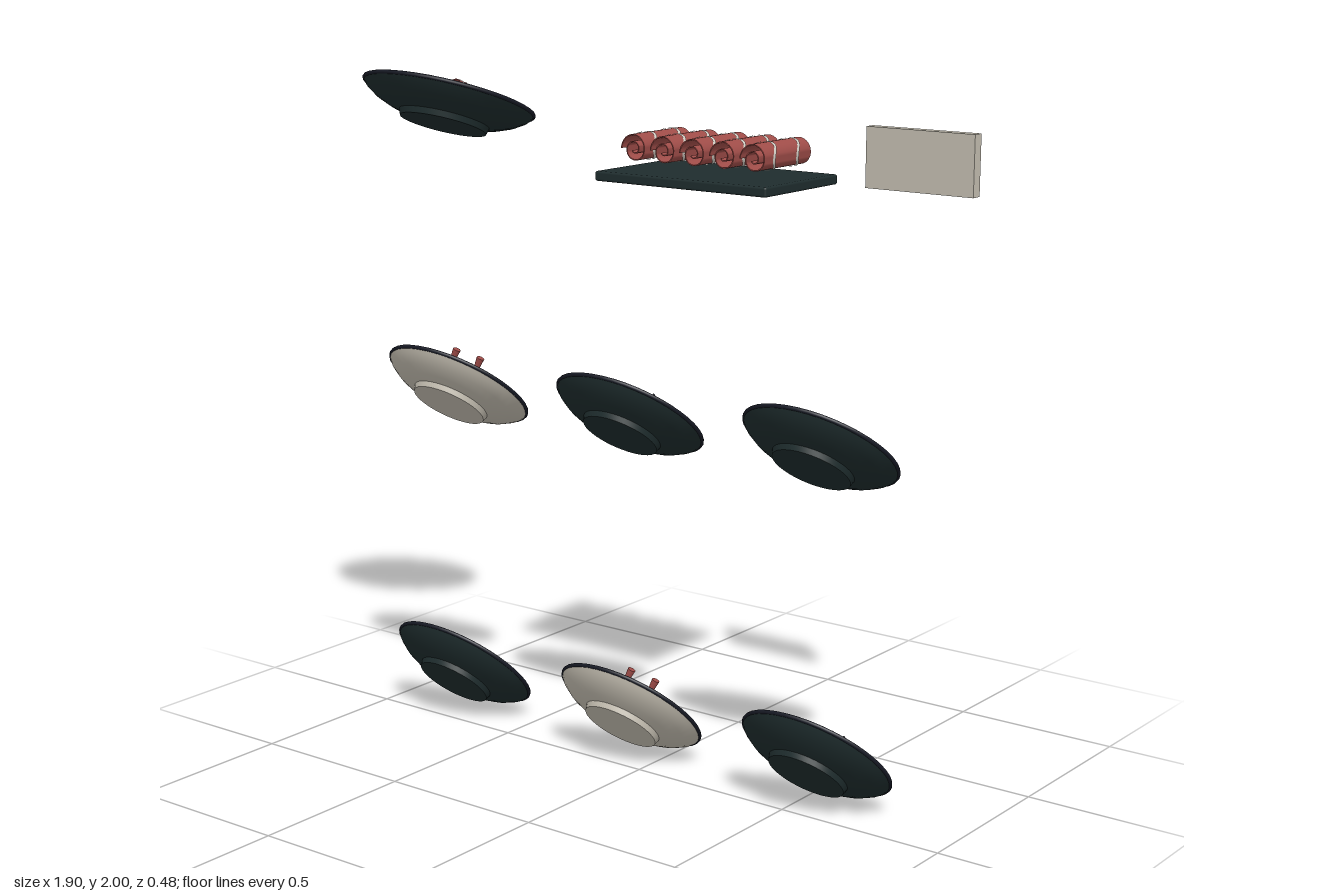
import * as THREE from 'three';
import { toCreasedNormals } from 'three/addons/utils/BufferGeometryUtils.js';
import { RoundedBoxGeometry } from 'three/addons/geometries/RoundedBoxGeometry.js';
import { ParametricGeometry } from 'three/addons/geometries/ParametricGeometry.js';

function material(name, color, side = THREE.FrontSide) {
  const m = new THREE.MeshStandardMaterial({ color, side });
  m.name = name;
  return m;
}

const MAT = {
  dark: material('dark glaze', 0x1e2c2d),
  pale: material('pale ceramic', 0xc3bdb0),
  sauce: material('brown sauce', 0x614a36),
  meat: material('red meat', 0xa04d49),
  fat: material('white fat', 0xd2cdc4, THREE.DoubleSide),
  cream: material('cream', 0xd6c9a4),
  batter: material('golden batter', 0xa67c3a),
  orange: material('carrot orange', 0xc08136),
  green: material('leaf green', 0x5f7a48),
  black: material('navy trim', 0x181b26)
};

function add(parent, name, geometry, mat, x = 0, y = 0, z = 0) {
  const mesh = new THREE.Mesh(geometry, mat);
  mesh.name = name;
  mesh.position.set(x, y, z);
  parent.add(mesh);
  return mesh;
}

function group(parent, name) {
  const g = new THREE.Group();
  g.name = name;
  parent.add(g);
  return g;
}

// Thin slice of meat rolled into a spiral along z, with wavy bands of fat on the outside
function meatRoll(parent, length, stripes) {
  const roll = group(parent, 'meatRoll');
  const spiral = (u, lift) => {
    const a = Math.PI * (1 - 3.8 * u);
    const r = 0.045 - 0.036 * u + lift;
    return new THREE.Vector2(Math.cos(a) * r, Math.sin(a) * r);
  };
  const outer = [], inner = [];
  for (let i = 0; i <= 56; i++) {
    outer.push(spiral(i / 56, 0));
    inner.unshift(spiral(i / 56, -0.003));
  }
  const slice = new THREE.ExtrudeGeometry(new THREE.Shape([...outer, ...inner]), { depth: length, bevelEnabled: false });
  add(roll, 'rolledSlice', toCreasedNormals(slice, 0.7), MAT.meat, 0, 0, -length / 2);
  for (let i = 0; i < stripes; i++) {
    const z0 = ((i + 0.5) / stripes - 0.5) * length;
    add(roll, 'fatStripe', new ParametricGeometry((u, v, out) => {
      const p = spiral(u * 0.42, 0.0025);
      out.set(p.x, p.y, z0 + 0.013 * Math.sin(u * Math.PI * 4) + (v - 0.5) * 0.012);
    }, 28, 1), MAT.fat);
  }
  return roll;
}

// Wavy noodle strand through a rule-based path
function strand(parent, mat, rule, radius) {
  const pts = [];
  for (let i = 0; i <= 24; i++) pts.push(new THREE.Vector3(...rule(i / 24)));
  add(parent, 'noodle', new THREE.TubeGeometry(new THREE.CatmullRomCurve3(pts), 48, radius, 8), mat);
}

// Shallow footed plate with a sauce pool, rim centre at the origin
function plate(parent, x, y, z, tilt, R, sauceR, mat) {
  const g = group(parent, 'plate');
  g.position.set(x, y, z);
  g.rotation.x = -THREE.MathUtils.degToRad(tilt);
  const k = R / 0.226;
  const profile = [[0, -0.073], [0.113, -0.073], [0.118, -0.057], [0.15, -0.049], [0.185, -0.034],
    [0.212, -0.016], [0.226, 0], [0.221, 0.002]].map(p => new THREE.Vector2(p[0] * k, p[1] * k));
  profile.push(new THREE.Vector2(sauceR, -0.02), new THREE.Vector2(0, -0.026));
  add(g, 'plateBody', toCreasedNormals(new THREE.LatheGeometry(profile, 40), 0.6), mat);
  const rim = add(g, 'rimLine', new THREE.TorusGeometry(R - 0.005, 0.006, 8, 40), MAT.black);
  rim.rotation.x = Math.PI / 2;
  add(g, 'saucePool', new THREE.CylinderGeometry(sauceR, sauceR, 0.008, 40), MAT.sauce, 0, -0.018, 0);
  return g;
}

// Ring of vegetables beside a small meat roll and a few noodles
function vegetableDish(g) {
  const { green, orange, fat } = MAT;
  [green, orange, green, orange, fat, green, green, fat, orange].forEach((mat, i) => {
    const a = (i + 0.5) * Math.PI * 2 / 9;
    const ball = add(g, 'vegetable', new THREE.SphereGeometry(0.02, 16, 12), mat,
      Math.cos(a) * 0.087, 0, Math.sin(a) * 0.08);
    ball.scale.y = 0.7;
  });
  for (let i = 0; i < 3; i++) {
    strand(g, MAT.cream, t => [-0.055 + t * 0.08, -0.008, -0.004 + 0.015 * i + 0.007 * Math.sin(t * 14 + i)], 0.003);
  }
  const roll = meatRoll(g, 0.2, 4);
  roll.scale.setScalar(0.53);
  roll.position.set(0.052, 0.024, -0.01);
}

// Scored bun with floating score bars and a standing sprig
function bunDish(g) {
  const geo = new THREE.SphereGeometry(1, 32, 18);
  const p = geo.attributes.position;
  for (let i = 0; i < p.count; i++) {
    p.setZ(i, p.getZ(i) * (1 - 0.2 * p.getX(i)));
  }
  geo.scale(0.118, 0.034, 0.078);
  geo.computeVertexNormals();
  add(g, 'bun', geo, MAT.cream, 0.003, 0.004, 0);
  for (let i = -2; i <= 2; i++) {
    const bar = add(g, 'scoreMark', new THREE.BoxGeometry(0.004, 0.004, 0.066), MAT.black, i * 0.037, 0.054, 0.006);
    bar.rotation.y = 0.2;
  }
  const sprig = group(g, 'sprig');
  sprig.position.set(-0.11, 0, 0.035);
  add(sprig, 'stalk', new THREE.CylinderGeometry(0.003, 0.003, 0.08, 8), MAT.green, 0, 0.027, 0);
  for (const s of [-1, 1]) {
    const leaf = add(sprig, 'leaf', new THREE.SphereGeometry(0.018, 12, 8), MAT.green, 0, 0.03, s * 0.012);
    leaf.scale.set(0.4, 0.25, 1);
    leaf.rotation.x = -s * 0.5;
  }
}

// Noodle tangle with two slanting battered prawns
function prawnDish(g) {
  for (let i = 0; i < 12; i++) {
    const a = i * 2.4;
    strand(g, MAT.cream, t => {
      const along = (t - 0.5) * 0.22, across = (i - 5.5) * 0.011 + 0.025 * Math.sin(t * 11 + i * 1.7);
      return [Math.cos(a) * along - Math.sin(a) * across, -0.002 + 0.01 * (1 + Math.sin(t * 9 + i)),
        Math.sin(a) * along + Math.cos(a) * across];
    }, 0.0042);
  }
  const up = new THREE.Vector3(0, 1, 0);
  const lean = new THREE.Vector3(0.109, 0.028, 0.135).normalize();
  const tailLean = new THREE.Vector3(0.4, 0.75, 0.5).normalize();
  for (const [x, z] of [[-0.006, -0.055], [-0.075, -0.019]]) {
    const prawn = group(g, 'prawn');
    prawn.position.set(x, 0.045, z);
    const body = add(prawn, 'prawnBody', new THREE.CapsuleGeometry(0.017, 0.12, 5, 14), MAT.batter);
    body.quaternion.setFromUnitVectors(up, lean);
    const tail = add(prawn, 'prawnTail', new THREE.CylinderGeometry(0.012, 0.008, 0.04, 10), MAT.meat);
    tail.quaternion.setFromUnitVectors(up, tailLean);
    tail.position.copy(lean).multiplyScalar(0.072).addScaledVector(tailLean, 0.02);
  }
}

export function createModel() {
  const root = new THREE.Group();
  root.name = 'foodDisplay';

  // Large plate on the top tier
  vegetableDish(plate(root, -0.69, 1.91, 0.002, 20.7, 0.255, 0.209, MAT.dark));

  // Two rows of three plates
  const rows = [
    { y: 1.047, z: -0.055, tilt: 39, dishes: [prawnDish, bunDish, vegetableDish] },
    { y: 0.17, z: -0.06, tilt: 45.4, dishes: [vegetableDish, prawnDish, bunDish] }
  ];
  for (const row of rows) {
    row.dishes.forEach((dish, i) => {
      const mat = dish === prawnDish ? MAT.pale : MAT.dark;
      dish(plate(root, -0.724 + i * 0.648, row.y, row.z, row.tilt, 0.226, 0.165, mat));
    });
  }

  // Tray with five meat rolls
  const tray = group(root, 'meatTray');
  add(tray, 'trayBoard', new RoundedBoxGeometry(0.56, 0.027, 0.34, 2, 0.006), MAT.dark, 0.243, 1.748, -0.02);
  for (let i = 0; i < 5; i++) {
    meatRoll(tray, 0.217, 2).position.set(0.035 + i * 0.098, 1.818, -0.04);
  }

  // Notice board with plain bars on its back
  const sign = group(root, 'noticeBoard');
  add(sign, 'board', new THREE.BoxGeometry(0.326, 0.163, 0.032), MAT.pale, 0.788, 1.817, -0.181);
  for (let i = 0; i < 5; i++) {
    add(sign, 'bar', new THREE.BoxGeometry(0.19 + i * 0.015, 0.009, 0.008), MAT.black, 0.788, 1.846 - i * 0.02, -0.201);
  }
  return root;
}
